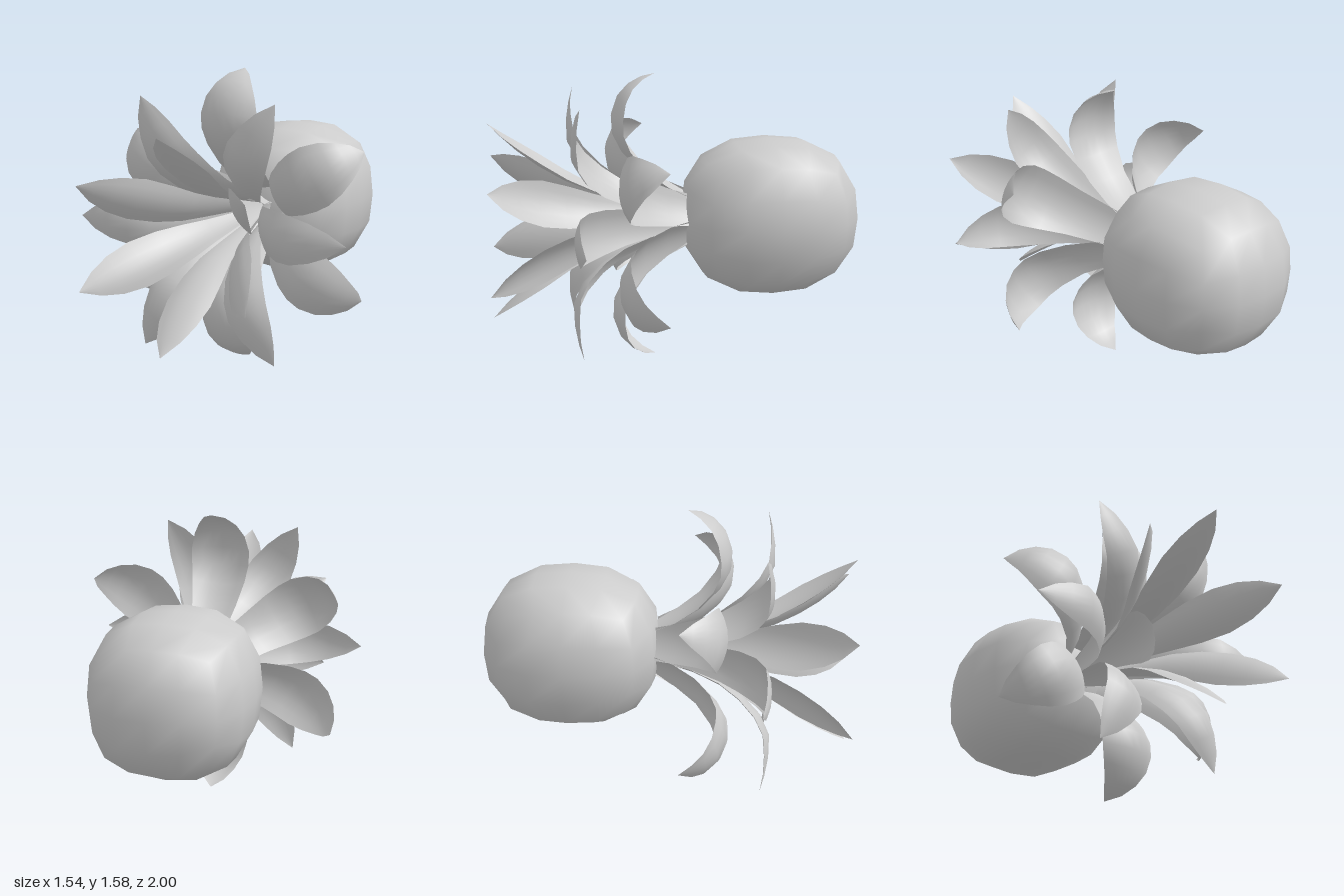
import * as THREE from 'three';
import { mergeVertices } from 'three/addons/utils/BufferGeometryUtils.js';

const AXIS_Y = 0.79;
const material = new THREE.MeshStandardMaterial({ color: 0xcccccc, side: THREE.DoubleSide });

// Petal from rows of [z, radius, halfWidth]; its edges bend away from the axis.
function petalGeometry(rows, bend) {
  const cols = 6, positions = [], index = [];
  rows.forEach(([z, r, w], i) => {
    const a = rows[Math.max(i - 1, 0)], b = rows[Math.min(i + 1, rows.length - 1)];
    const dz = b[0] - a[0], dr = b[1] - a[1], len = Math.hypot(dz, dr);
    for (let j = 0; j <= cols; j++) {
      const x = w * (2 * j / cols - 1), d = bend * x * x;
      positions.push(x, r + d * dz / len, z - d * dr / len);
      if (i && j) {
        const p = i * (cols + 1) + j, q = p - cols - 1;
        index.push(q - 1, p - 1, q, q, p - 1, p);
      }
    }
  });
  const geo = new THREE.BufferGeometry();
  geo.setAttribute('position', new THREE.Float32BufferAttribute(positions, 3));
  geo.setIndex(index);
  geo.computeVertexNormals();
  return geo;
}

// Six copies of one petal around the z axis
function petalRing(name, rows, bend, offset) {
  const ring = new THREE.Group();
  ring.name = name;
  const geo = petalGeometry(rows, bend);
  for (let i = 0; i < 6; i++) {
    const petal = new THREE.Mesh(geo, material);
    petal.name = 'petal';
    petal.rotation.z = offset + i * Math.PI / 3;
    ring.add(petal);
  }
  ring.position.y = AXIS_Y;
  return ring;
}

// Rounded box-like bulb: a subdivided cube pushed onto a superellipsoid
function bulbGeometry() {
  let geo = new THREE.BoxGeometry(2, 2, 2, 4, 4, 4);
  geo.deleteAttribute('uv');
  geo.deleteAttribute('normal');
  geo = mergeVertices(geo);
  const pos = geo.attributes.position, n = 2.5;
  for (let i = 0; i < pos.count; i++) {
    const v = [pos.getX(i), pos.getY(i), pos.getZ(i)].map(c => Math.tan(c * Math.PI / 4));
    const s = Math.pow(v.reduce((sum, c) => sum + Math.abs(c) ** n, 0), -1 / n);
    pos.setXYZ(i, v[0] * s * 0.425, v[1] * s * 0.425, v[2] * s * 0.482);
  }
  geo.computeVertexNormals();
  return geo;
}

export function createModel() {
  const model = new THREE.Group();
  model.name = 'flower';

  const bulb = new THREE.Mesh(bulbGeometry(), material);
  bulb.name = 'bulb';
  bulb.position.set(0, AXIS_Y, -0.518);
  model.add(bulb);

  // Broad outer petals curling back
  model.add(petalRing('outerPetals', [
    [-0.05, 0.12, 0.09], [0.06, 0.17, 0.105], [0.19, 0.26, 0.125], [0.29, 0.37, 0.15],
    [0.34, 0.47, 0.163], [0.345, 0.57, 0.165], [0.31, 0.67, 0.143], [0.25, 0.735, 0.105],
    [0.18, 0.772, 0.06], [0.11, 0.79, 0]], 1.9, 0));

  // Pointed middle petals spreading sideways
  model.add(petalRing('middlePetals', [
    [-0.05, 0.07, 0.05], [0.15, 0.12, 0.075], [0.3, 0.175, 0.1], [0.42, 0.25, 0.12],
    [0.52, 0.35, 0.13], [0.573, 0.46, 0.125], [0.572, 0.58, 0.1], [0.555, 0.68, 0.06],
    [0.53, 0.77, 0]], 2.2, Math.PI / 6));

  // Narrow inner petals reaching forward
  model.add(petalRing('innerPetals', [
    [-0.05, 0.035, 0.02], [0.3, 0.12, 0.065], [0.45, 0.16, 0.09], [0.6, 0.225, 0.115],
    [0.74, 0.31, 0.125], [0.85, 0.395, 0.105], [0.93, 0.47, 0.065], [1, 0.54, 0]], 2.2, 0));

  return model;
}
